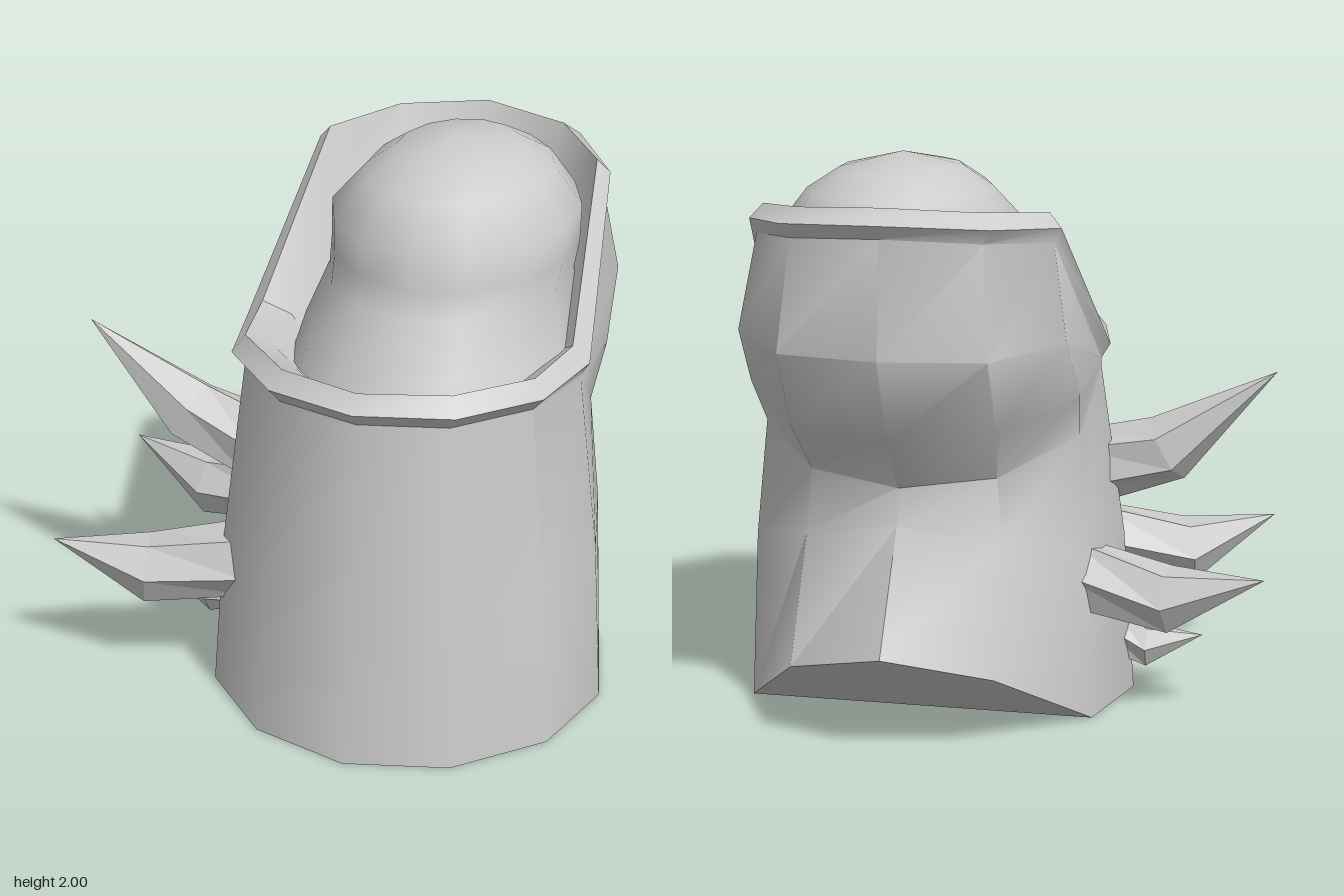
import * as THREE from 'three';
import { toCreasedNormals } from 'three/addons/utils/BufferGeometryUtils.js';

const CX = 0.255; // mirror axis of the body

// Skin a stack of closed rings of [x, y, z]; an optional tip closes the end
function loft(rings, tip, extra = []) {
  const n = rings[0].length, pos = rings.flat(2), idx = [...extra];
  for (let i = 0; i < rings.length - 1; i++) {
    for (let j = 0; j < n; j++) {
      const a = i * n + j, b = i * n + (j + 1) % n;
      idx.push(a, b, b + n, a, b + n, a + n);
    }
  }
  if (tip) {
    const base = (rings.length - 1) * n, t = pos.length / 3;
    pos.push(...tip);
    for (let j = 0; j < n; j++) idx.push(base + j, base + (j + 1) % n, t);
  }
  const g = new THREE.BufferGeometry();
  g.setAttribute('position', new THREE.Float32BufferAttribute(pos, 3));
  g.setIndex(idx);
  return g;
}

// Half ring, front to back, of [half width, y, z] mirrored to twelve points
const mirrored = half => [
  ...half.map(([w, y, z]) => [CX + w, y, z]),
  ...half.slice(1, -1).reverse().map(([w, y, z]) => [CX - w, y, z]),
];

export function createModel() {
  const model = new THREE.Group();
  const smooth = new THREE.MeshStandardMaterial({ color: 0xcccccc });
  const faceted = new THREE.MeshStandardMaterial({ color: 0xcccccc, flatShading: true });
  const add = (name, geometry, material) => {
    const mesh = new THREE.Mesh(geometry, material);
    mesh.name = name;
    model.add(mesh);
  };

  // Body: sloped heel, waist, then a hood that swells at the back
  const collar = [[0, 1.25, 0.70], [0.30, 1.25, 0.62], [0.52, 1.25, 0.39]];
  const rimOuter = [[0, 1.30, 0.74], [0.33, 1.30, 0.65], [0.56, 1.30, 0.41], [0.63, 1.30, 0.08],
    [0.545, 1.80, -0.44], [0.36, 1.83, -0.71], [0, 1.85, -0.82]];
  const body = [
    [[0, 0, 0.84], [0.36, 0, 0.74], [0.63, 0, 0.47], [0.725, 0, 0.11],
      [0.63, 0, -0.25], [0.36, 0.27, -0.68], [0, 0.37, -0.84]],
    [[0, 0.58, 0.80], [0.34, 0.58, 0.70], [0.59, 0.59, 0.45], [0.685, 0.60, 0.10],
      [0.60, 0.62, -0.25], [0.35, 0.70, -0.48], [0, 0.77, -0.58]],
    [...collar, [0.60, 1.22, 0.07], [0.57, 1.03, -0.20], [0.33, 0.93, -0.47], [0, 0.90, -0.56]],
    [...collar, [0.60, 1.23, 0.07], [0.59, 1.20, -0.32], [0.36, 1.12, -0.62], [0, 1.10, -0.71]],
    [...collar, [0.60, 1.24, 0.07], [0.575, 1.42, -0.50], [0.36, 1.40, -0.77], [0, 1.40, -0.83]],
    [...collar, [0.60, 1.25, 0.07], [0.52, 1.75, -0.44], [0.33, 1.78, -0.69], [0, 1.80, -0.78]],
    rimOuter,
  ].map(mirrored);
  // Sole: flat front and rising heel
  const sole = [];
  const fan = (c, loop) => {
    for (let k = 0; k < loop.length - 1; k++) sole.push(c, loop[k + 1], loop[k]);
  };
  fan(0, [1, 2, 3, 4, 8, 9, 10, 11]);
  fan(4, [5, 6, 7, 8]);
  add('body', toCreasedNormals(loft(body, null, sole), 0.7), smooth);

  // Rim and the inside of the hood, closed by a hidden floor
  const rim = [
    rimOuter,
    [[0, 1.36, 0.69], [0.30, 1.36, 0.60], [0.52, 1.36, 0.38], [0.57, 1.36, 0.09],
      [0.50, 1.85, -0.42], [0.31, 1.88, -0.66], [0, 1.90, -0.75]],
    [[0, 1.29, 0.57], [0.25, 1.29, 0.50], [0.43, 1.29, 0.31], [0.48, 1.30, 0.04],
      [0.46, 1.66, -0.40], [0.29, 1.70, -0.60], [0, 1.72, -0.68]],
    [[0, 1.20, 0.48], [0.20, 1.20, 0.42], [0.34, 1.20, 0.27], [0.40, 1.20, 0.05],
      [0.36, 1.22, -0.28], [0.22, 1.25, -0.46], [0, 1.25, -0.52]],
  ].map(mirrored);
  add('hoodRim', toCreasedNormals(loft(rim, [CX, 1.2, 0]), 0.6), smooth);

  // Head: oval sections given as [y, x min, x max, z back, z front]
  const head = [
    [1.18, -0.19, 0.84, -0.46, 0.64], [1.36, -0.15, 0.80, -0.55, 0.55],
    [1.53, -0.09, 0.755, -0.60, 0.44], [1.62, -0.095, 0.765, -0.62, 0.395],
    [1.75, -0.095, 0.765, -0.64, 0.40], [1.88, 0.02, 0.66, -0.55, 0.27],
    [1.95, 0.12, 0.55, -0.41, 0.14],
  ].map(([y, x0, x1, z0, z1]) => Array.from({ length: 14 }, (_, j) => {
    const a = j / 14 * Math.PI * 2;
    return [(x0 + x1) / 2 + (x1 - x0) / 2 * Math.sin(a), y, (z0 + z1) / 2 + (z1 - z0) / 2 * Math.cos(a)];
  }));
  add('head', toCreasedNormals(loft(head, [0.335, 2, -0.11]), 1.2), smooth);

  // Spikes: six-sided, bent at the middle; [root, middle, tip, radius]
  const Z = new THREE.Vector3(0, 0, 1);
  const section = (centre, dir, r) => {
    const q = new THREE.Quaternion().setFromUnitVectors(Z, dir.clone().normalize());
    return Array.from({ length: 6 }, (_, j) => {
      const a = j / 6 * Math.PI * 2;
      return new THREE.Vector3(Math.cos(a) * r, Math.sin(a) * r, 0)
        .applyQuaternion(q).add(centre).toArray();
    });
  };
  [
    [[-0.28, 0.82, 0.16], [-0.58, 0.91, 0.145], [-0.97, 1.21, 0.14], 0.14],
    [[-0.26, 0.49, 0.40], [-0.62, 0.43, 0.49], [-0.93, 0.55, 0.61], 0.14],
    [[-0.26, 0.51, -0.13], [-0.64, 0.44, -0.18], [-0.98, 0.55, -0.25], 0.135],
    [[-0.35, 0.22, 0.14], [-0.52, 0.16, 0.13], [-0.72, 0.21, 0.13], 0.09],
  ].forEach(([a, b, c, r], i) => {
    const [root, mid, tip] = [a, b, c].map(p => new THREE.Vector3(...p));
    const rings = [
      section(root, mid.clone().sub(root), r),
      section(mid, tip.clone().sub(root), r * 0.9),
    ];
    add('spike' + (i + 1), loft(rings, c), faceted);
  });

  return model;
}
